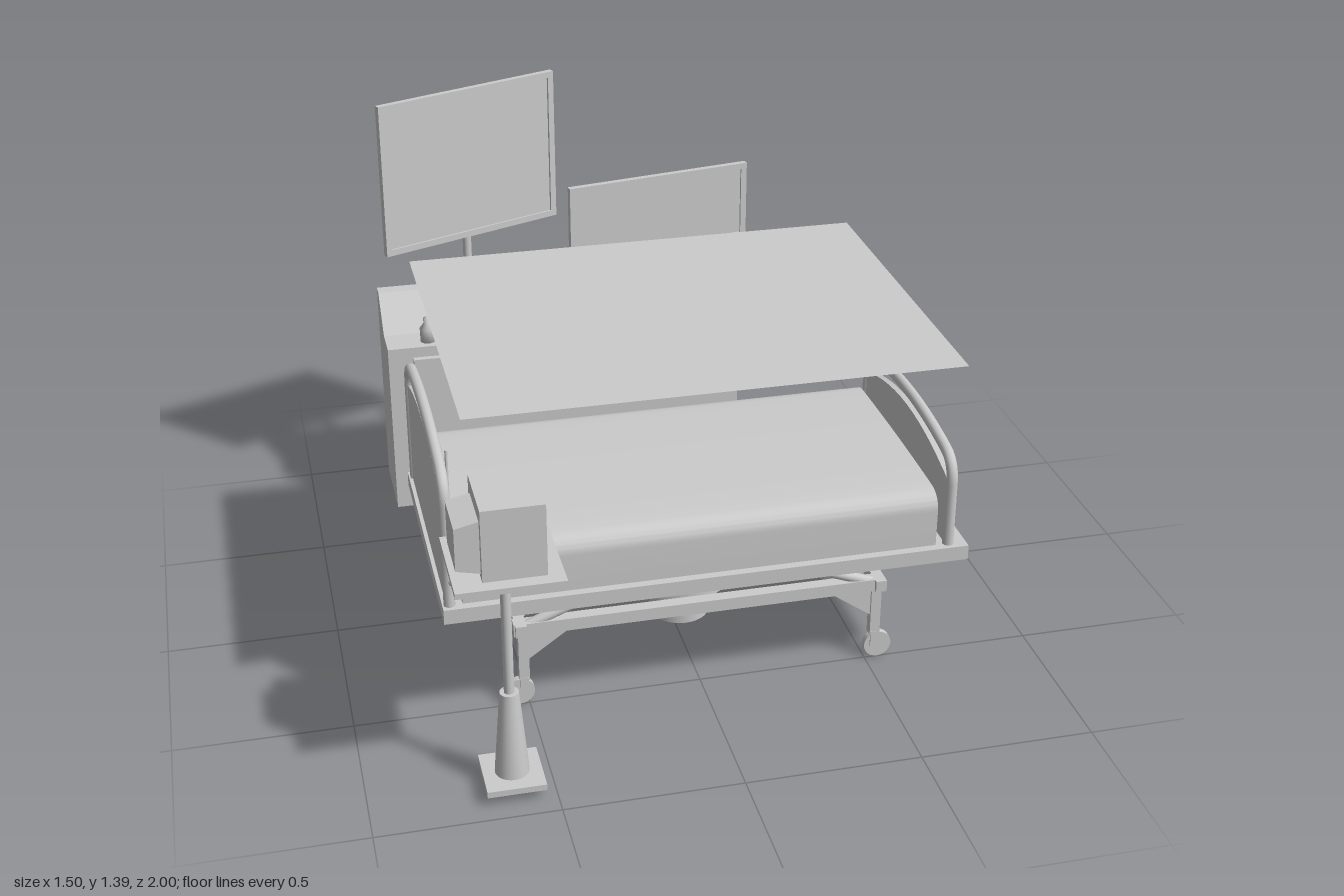
import * as THREE from 'three';
import { toCreasedNormals } from 'three/addons/utils/BufferGeometryUtils.js';

const grey = new THREE.MeshStandardMaterial({ color: 0xcccccc });
const greyDouble = new THREE.MeshStandardMaterial({ color: 0xcccccc, side: THREE.DoubleSide });
const V = (x, y, z) => new THREE.Vector3(x, y, z);

export function createModel() {
  const root = new THREE.Group();

  function group(name, parent = root) {
    const g = new THREE.Group();
    g.name = name;
    parent.add(g);
    return g;
  }
  function add(parent, name, geo, x = 0, y = 0, z = 0, mat = grey) {
    const m = new THREE.Mesh(geo, mat);
    m.name = name;
    m.position.set(x, y, z);
    parent.add(m);
    return m;
  }
  // box given by its limits on each axis
  function box(parent, name, x0, x1, y0, y1, z0, z1) {
    return add(parent, name, new THREE.BoxGeometry(x1 - x0, y1 - y0, z1 - z0),
      (x0 + x1) / 2, (y0 + y1) / 2, (z0 + z1) / 2);
  }
  function cyl(parent, name, rTop, rBottom, y0, y1, x, z, sides = 24) {
    return add(parent, name, new THREE.CylinderGeometry(rTop, rBottom, y1 - y0, sides), x, (y0 + y1) / 2, z);
  }
  // round bar between two points
  function rod(parent, name, a, b, r) {
    const m = add(parent, name, new THREE.CylinderGeometry(r, r, a.distanceTo(b), 16));
    m.position.copy(a).add(b).multiplyScalar(0.5);
    m.quaternion.setFromUnitVectors(V(0, 1, 0), b.clone().sub(a).normalize());
    return m;
  }
  // outline in (z, y) extruded along x from x0 to x1
  function slab(parent, name, shape, x0, x1) {
    const geo = new THREE.ExtrudeGeometry(shape, { depth: x1 - x0, bevelEnabled: false, curveSegments: 12 });
    const m = add(parent, name, toCreasedNormals(geo, 0.6), x1, 0, 0);
    m.rotation.y = -Math.PI / 2;
    return m;
  }

  // ---- bed ----
  const bed = group('bed');
  const midZ = 0.23;
  box(bed, 'bedBase', -0.745, 0.75, 0.378, 0.422, -0.17, 0.625);

  const pad = new THREE.Shape();
  pad.moveTo(-0.14, 0.42);
  pad.lineTo(0.6, 0.42);
  pad.lineTo(0.6, 0.53);
  pad.quadraticCurveTo(0.6, 0.58, 0.54, 0.585);
  pad.quadraticCurveTo(midZ, 0.595, -0.08, 0.585);
  pad.quadraticCurveTo(-0.14, 0.58, -0.14, 0.53);
  slab(bed, 'mattress', pad, -0.69, 0.66);

  // arched end boards: hoop of tube with a panel inside
  function endBoard(name, x, crest) {
    const g = group(name, bed);
    const half = 0.367, side = crest - 0.125, shoulder = crest - 0.058, top = crest - 0.016;
    const path = new THREE.CurvePath();
    const left = midZ + half, right = midZ - half;
    path.add(new THREE.LineCurve3(V(x, 0.42, left), V(x, side, left)));
    path.add(new THREE.QuadraticBezierCurve3(V(x, side, left), V(x, shoulder, left), V(x, shoulder + 0.012, left - 0.06)));
    path.add(new THREE.QuadraticBezierCurve3(V(x, shoulder + 0.012, left - 0.06), V(x, 2 * top - shoulder - 0.012, midZ), V(x, shoulder + 0.012, right + 0.06)));
    path.add(new THREE.QuadraticBezierCurve3(V(x, shoulder + 0.012, right + 0.06), V(x, shoulder, right), V(x, side, right)));
    path.add(new THREE.LineCurve3(V(x, side, right), V(x, 0.42, right)));
    add(g, 'hoop', new THREE.TubeGeometry(path, 90, 0.016, 12));
    const p = new THREE.Shape();
    p.moveTo(right, 0.42);
    p.lineTo(left, 0.42);
    p.lineTo(left, side - 0.04);
    p.quadraticCurveTo(left, shoulder - 0.055, left - 0.06, shoulder - 0.045);
    p.quadraticCurveTo(midZ, 2 * crest - 0.11 - shoulder + 0.045, right + 0.06, shoulder - 0.045);
    p.quadraticCurveTo(right, shoulder - 0.055, right, side - 0.04);
    slab(g, 'panel', p, x - 0.009, x + 0.009);
  }
  endBoard('headboard', -0.725, 0.855);
  endBoard('footboard', 0.697, 0.74);
  for (const z of [-0.15, 0.61]) add(bed, 'sideKnob', new THREE.SphereGeometry(0.012, 12, 8), -0.715, 0.5, z);
  rod(bed, 'hangingCord', V(-0.7, 0.7, 0.48), V(-0.7, 0.83, 0.48), 0.004);

  // ---- wheeled under-frame ----
  const under = group('underFrame', bed);
  for (const z of [-0.03, 0.49]) {
    box(under, 'longRail', -0.54, 0.55, 0.232, 0.27, z - 0.018, z + 0.018);
    for (const s of [-1, 1]) {
      const x = s * 0.52 + 0.007;
      box(under, 'leg', x - 0.015, x + 0.015, 0.08, 0.27, z - 0.014, z + 0.014);
      const wheel = add(under, 'castor', new THREE.CylinderGeometry(0.041, 0.041, 0.02, 24), x + s * 0.012, 0.042, z);
      wheel.rotation.x = Math.PI / 2;
      box(under, 'castorFork', x - 0.012, x + 0.012, 0.04, 0.09, z - 0.015, z + 0.015);
      rod(under, 'diagonalTube', V(x - s * 0.01, 0.255, z), V(s * 0.17, 0.385, z), 0.015);
      // triangular brace beside the leg
      const brace = new THREE.Shape([[x, 0.135], [x - s * 0.14, 0.235], [x, 0.235]].map(q => new THREE.Vector2(...q)));
      add(under, 'brace', new THREE.ExtrudeGeometry(brace, { depth: 0.012, bevelEnabled: false }), 0, 0, z - 0.006);
    }
  }
  for (const x of [-0.52, 0.535]) {
    box(under, 'crossRail', x - 0.016, x + 0.016, 0.235, 0.27, -0.05, 0.52);
    box(under, 'endBox', x - 0.035, x + 0.035, 0.208, 0.29, 0.1, 0.37);
  }
  for (const z of [0.16, 0.3]) box(under, 'centreRail', -0.52, 0.53, 0.235, 0.268, z - 0.015, z + 0.015);
  cyl(under, 'motorTopPlate', 0.145, 0.145, 0.27, 0.292, 0.003, midZ, 32);
  cyl(under, 'motorCore', 0.08, 0.08, 0.2, 0.28, 0.003, midZ, 32);
  cyl(under, 'motorFlange', 0.145, 0.145, 0.19, 0.222, 0.003, midZ, 32);
  cyl(under, 'motorHousing', 0.092, 0.088, 0.08, 0.2, 0.003, midZ, 32);

  // ---- floating sheet above the bed ----
  const sheet = add(root, 'overheadSheet', new THREE.PlaneGeometry(1.35, 1.045), -0.015, 1.053, 0.223, greyDouble);
  sheet.rotation.x = -Math.PI / 2;

  // ---- cabinet ----
  const cabinet = group('cabinet');
  const profile = new THREE.Shape([[-0.655, 0.03], [-0.655, 0.605], [-0.765, 0.605], [-0.875, 0.71], [-0.92, 0.71], [-0.92, 0.03]]
    .map(q => new THREE.Vector2(...q)));
  slab(cabinet, 'cabinetBody', profile, -0.74, 0.42);
  for (const [x0, x1] of [[-0.66, -0.23], [-0.11, 0.31]]) {
    box(cabinet, 'drawerFront', x0, x1, 0.45, 0.57, -0.66, -0.635);
    const x = (x0 + x1) / 2 - 0.005;
    rod(cabinet, 'knobStem', V(x, 0.505, -0.64), V(x, 0.505, -0.615), 0.009);
    add(cabinet, 'knob', new THREE.SphereGeometry(0.018, 16, 12), x, 0.505, -0.618).scale.z = 0.65;
  }

  // bottles on the ledge, the middle one lying down
  const bottleGeo = new THREE.LatheGeometry([[0, 0], [0.024, 0], [0.025, 0.045], [0.012, 0.062], [0.012, 0.08], [0, 0.084]]
    .map(q => new THREE.Vector2(...q)), 20);
  for (const x of [-0.605, -0.41]) add(cabinet, 'bottle', bottleGeo, x, 0.605, -0.7);
  const lying = add(cabinet, 'lyingBottle', bottleGeo, -0.525, 0.63, -0.675);
  lying.rotation.set(Math.PI / 2, 0, -2.5);

  // ---- display screens on poles ----
  function display(name, x, y, z, w, h, angle, barY, poleX, poleTop) {
    const g = group(name);
    const panel = group('screenPanel', g);
    panel.position.set(x, y, z);
    panel.rotation.y = angle;
    const b = 0.02;
    box(panel, 'screen', -w / 2 + b, w / 2 - b, -h / 2 + b, h / 2 - b, -0.009, 0.003);
    for (const s of [-1, 1]) {
      box(panel, 'frameSide', s * (w / 2 - b / 2) - b / 2, s * (w / 2 - b / 2) + b / 2, -h / 2, h / 2, -0.01, 0.01);
      box(panel, 'frameEdge', -w / 2 + b, w / 2 - b, s * (h / 2 - b / 2) - b / 2, s * (h / 2 - b / 2) + b / 2, -0.01, 0.01);
    }
    const dy = barY - y;
    rod(panel, 'mountBar', V(-0.26, dy, -0.036), V(0.26, dy, -0.036), 0.012);
    for (const s of [-1, 1]) {
      add(panel, 'mountJoint', new THREE.SphereGeometry(0.019, 16, 12), s * 0.14, dy, -0.036);
      add(panel, 'barEnd', new THREE.SphereGeometry(0.014, 12, 8), s * 0.26, dy, -0.036);
      rod(panel, 'mountPin', V(s * 0.14, dy, -0.06), V(s * 0.14, dy, 0), 0.009);
    }
    cyl(g, 'pole', 0.014, 0.014, 0.6, poleTop, poleX, -0.89, 16);
  }
  display('largeDisplay', -0.425, 1.14, -0.86, 0.635, 0.495, 0.386, 1.09, -0.44, 1.19);
  display('smallDisplay', 0.195, 0.915, -0.855, 0.63, 0.265, 0.175, 0.87, 0.183, 0.96);

  // ---- monitor stand ----
  const stand = group('monitorStand');
  const sx = -0.61, sz = 0.86;
  box(stand, 'footPlate', sx - 0.08, sx + 0.08, 0.03, 0.048, sz - 0.085, sz + 0.085);
  cyl(stand, 'taperedFoot', 0.026, 0.047, 0.048, 0.3, sx, sz);
  cyl(stand, 'standPole', 0.014, 0.014, 0.3, 0.69, sx, sz, 16);
  box(stand, 'tray', -0.755, -0.47, 0.686, 0.702, 0.71, 0.995);
  box(stand, 'monitorBody', -0.68, -0.525, 0.702, 0.905, 0.76, 0.957);
  // raised rim around the monitor face
  for (const [y0, y1, z0, z1] of [[0.702, 0.718, 0.76, 0.957], [0.889, 0.905, 0.76, 0.957], [0.718, 0.889, 0.76, 0.776], [0.718, 0.889, 0.941, 0.957]])
    box(stand, 'monitorRim', -0.525, -0.514, y0, y1, z0, z1);
  // tapered rear housing
  const rear = new THREE.BoxGeometry(0.065, 0.15, 0.15);
  const pos = rear.attributes.position;
  for (let i = 0; i < pos.count; i++)
    if (pos.getX(i) < 0) pos.setY(i, pos.getY(i) * 0.8);
  rear.computeVertexNormals();
  add(stand, 'monitorRear', rear, -0.711, 0.79, 0.86);

  return root;
}
